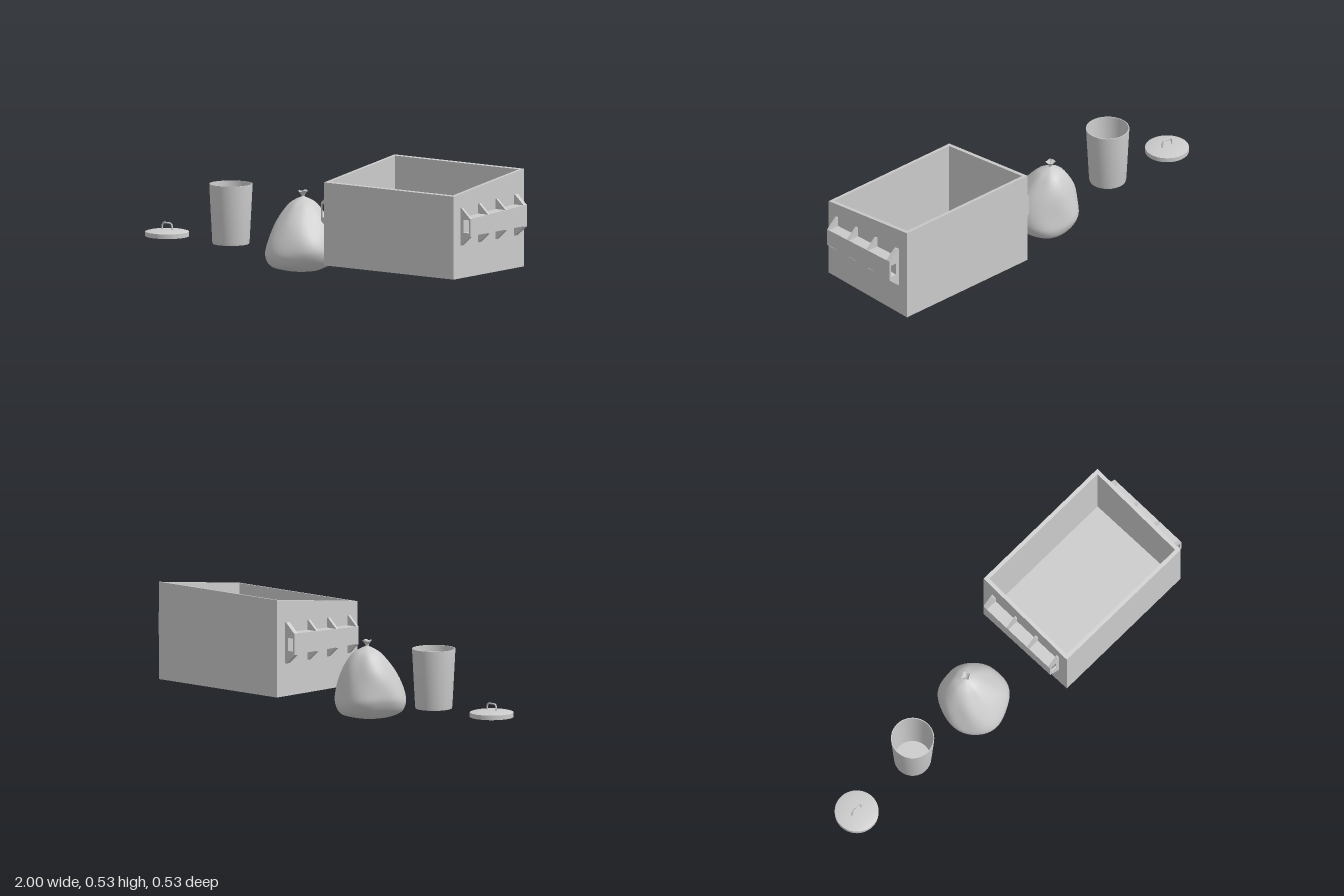
import * as THREE from 'three';
import { mergeVertices, toCreasedNormals } from 'three/addons/utils/BufferGeometryUtils.js';

export function createModel() {
  const model = new THREE.Group();
  const grey = new THREE.MeshStandardMaterial({ color: 0xcccccc });
  grey.name = 'plain grey';

  const group = (name, x = 0) => {
    const g = new THREE.Group();
    g.name = name;
    g.position.x = x;
    model.add(g);
    return g;
  };
  const add = (parent, name, geometry) => {
    const mesh = new THREE.Mesh(geometry, grey);
    mesh.name = name;
    parent.add(mesh);
    return mesh;
  };
  const vectors = (points) => points.map(([x, y]) => new THREE.Vector2(x, y));
  const rect = (x0, y0, x1, y1) => [[x0, y0], [x1, y0], [x1, y1], [x0, y1]];
  const extrude = (outline, depth, hole) => {
    const shape = new THREE.Shape(vectors(outline));
    if (hole) shape.holes.push(new THREE.Path(vectors(hole)));
    return new THREE.ExtrudeGeometry(shape, { depth, bevelEnabled: false });
  };
  const turned = (points, segments = 48) =>
    toCreasedNormals(new THREE.LatheGeometry(vectors(points), segments), 0.6);
  // Move every vertex by a rule
  const reshape = (geometry, rule) => {
    const p = geometry.attributes.position;
    const v = new THREE.Vector3();
    for (let i = 0; i < p.count; i++) {
      rule(v.fromBufferAttribute(p, i));
      p.setXYZ(i, v.x, v.y, v.z);
    }
    geometry.computeVertexNormals();
    return geometry;
  };

  // Open container with a rim that rises towards the back
  const container = group('container', 0.57);
  const W = 0.371, D = 0.264, T = 0.018;
  const walls = extrude(rect(-W, -D, W, D), 0.4, rect(T - W, T - D, W - T, D - T));
  walls.rotateX(-Math.PI / 2);
  add(container, 'containerWalls', reshape(walls, (v) => {
    v.y = v.y > 0.2 ? 0.5 - 0.128 * v.z : 0.085;
  }));
  const floor = new THREE.BoxGeometry(2 * (W - T), T, 2 * (D - T));
  add(container, 'containerFloor', floor.translate(0, 0.085 + T / 2, 0));

  // Lifting sleeves with gussets on both ends
  const sleeveTop = (z) => 0.371 - 0.0426 * z;
  for (const side of [1, -1]) {
    const sided = (points) => points.map(([x, y]) => [x * side, y]);
    const sleeve = extrude(sided(rect(W, 0.283, 0.428, 0.37)), 0.423, sided(rect(0.388, 0.296, 0.419, 0.356)));
    sleeve.translate(0, 0, -0.21);
    add(container, 'liftingSleeve', reshape(sleeve, (v) => {
      if (v.y > 0.365) v.y = sleeveTop(v.z);
    }));
    for (const [z0, z1] of [[0.2, 0.213], [0.066, 0.08], [-0.064, -0.051], [-0.21, -0.187]]) {
      const y = sleeveTop(z1);
      const upper = [[W, y - 0.005], [0.428, y - 0.005], [0.428, y], [W + 0.006, y + 0.046], [W, y + 0.046]];
      const lower = [[W, 0.283], [W, 0.236], [W + 0.006, 0.236], [0.428, 0.28], [0.428, 0.283]];
      add(container, 'upperGusset', extrude(sided(upper), z1 - z0).translate(0, 0, z0));
      add(container, 'lowerGusset', extrude(sided(lower), z1 - z0).translate(0, 0, z0));
    }
  }

  // Tapered bin, hollow inside
  add(group('bin', -0.535), 'binShell', turned([
    [0, 0.09], [0.083, 0.09], [0.085, 0.1], [0.0985, 0.355], [0.0985, 0.365],
    [0.0945, 0.365], [0.0825, 0.1], [0, 0.1],
  ]));

  // Shallow lid with a hollow underside and a bent handle
  const lid = group('lid', -0.9);
  add(lid, 'lidShell', turned([
    [0, 0.106], [0.095, 0.104], [0.095, 0.092], [0.1, 0.092], [0.1, 0.113],
    [0.085, 0.117], [0.05, 0.121], [0, 0.123],
  ]));
  const bend = new THREE.CatmullRomCurve3([
    [-0.029, 0.115], [-0.027, 0.142], [-0.02, 0.151], [0, 0.152],
    [0.02, 0.151], [0.027, 0.142], [0.029, 0.115],
  ].map(([x, y]) => new THREE.Vector3(x, y, 0)));
  add(lid, 'lidHandle', new THREE.TubeGeometry(bend, 32, 0.004, 8));

  // Tied rubbish bag: a turned profile, leaned and dented
  const bag = group('bag', -0.135);
  const profile = new THREE.SplineCurve(vectors([
    [0, 0.003], [0.05, 0.003], [0.1, 0.012], [0.14, 0.038], [0.16, 0.075], [0.161, 0.11],
    [0.148, 0.16], [0.125, 0.215], [0.095, 0.265], [0.062, 0.305], [0.03, 0.326], [0.009, 0.335],
  ])).getPoints(44);
  profile[0].x = 0;
  const body = new THREE.LatheGeometry(profile, 56);
  body.deleteAttribute('uv');
  body.deleteAttribute('normal');
  const lean = (y) => THREE.MathUtils.smoothstep(y, 0.1, 0.335);
  add(bag, 'bagBody', reshape(mergeVertices(body, 1e-5), (v) => {
    const a = Math.atan2(v.z, v.x);
    const y = v.y;
    const low = 1 - lean(y);
    const dents = 1 + 0.025 * Math.sin(3 * a + 14 * y) + 0.016 * Math.sin(5 * a - 22 * y + 1)
      + 0.012 * Math.sin(8 * a + 1.3) * lean(y);
    const r = Math.hypot(v.x, v.z);
    v.x = v.x * dents - 0.015 * lean(y);
    v.z = v.z * dents - 0.036 * lean(y);
    // Sagging folds around the lower edge
    v.y += low * 0.016 * Math.sin(2 * a + 0.6) * THREE.MathUtils.smoothstep(r, 0.09, 0.16);
  }));
  const tie = turned([[0, 0.328], [0.012, 0.332], [0.007, 0.338], [0.009, 0.346], [0.021, 0.362],
    [0.017, 0.363], [0.006, 0.351], [0, 0.35]], 24);
  add(bag, 'bagKnot', reshape(tie, (v) => {
    const a = Math.atan2(v.z, v.x);
    const flare = THREE.MathUtils.smoothstep(v.y, 0.34, 0.362);
    const k = 1 + 0.15 * flare * Math.sin(4 * a);
    v.y += 0.003 * flare * Math.sin(3 * a);
    v.x = v.x * k - 0.015;
    v.z = v.z * k - 0.036;
  }));

  return model;
}
